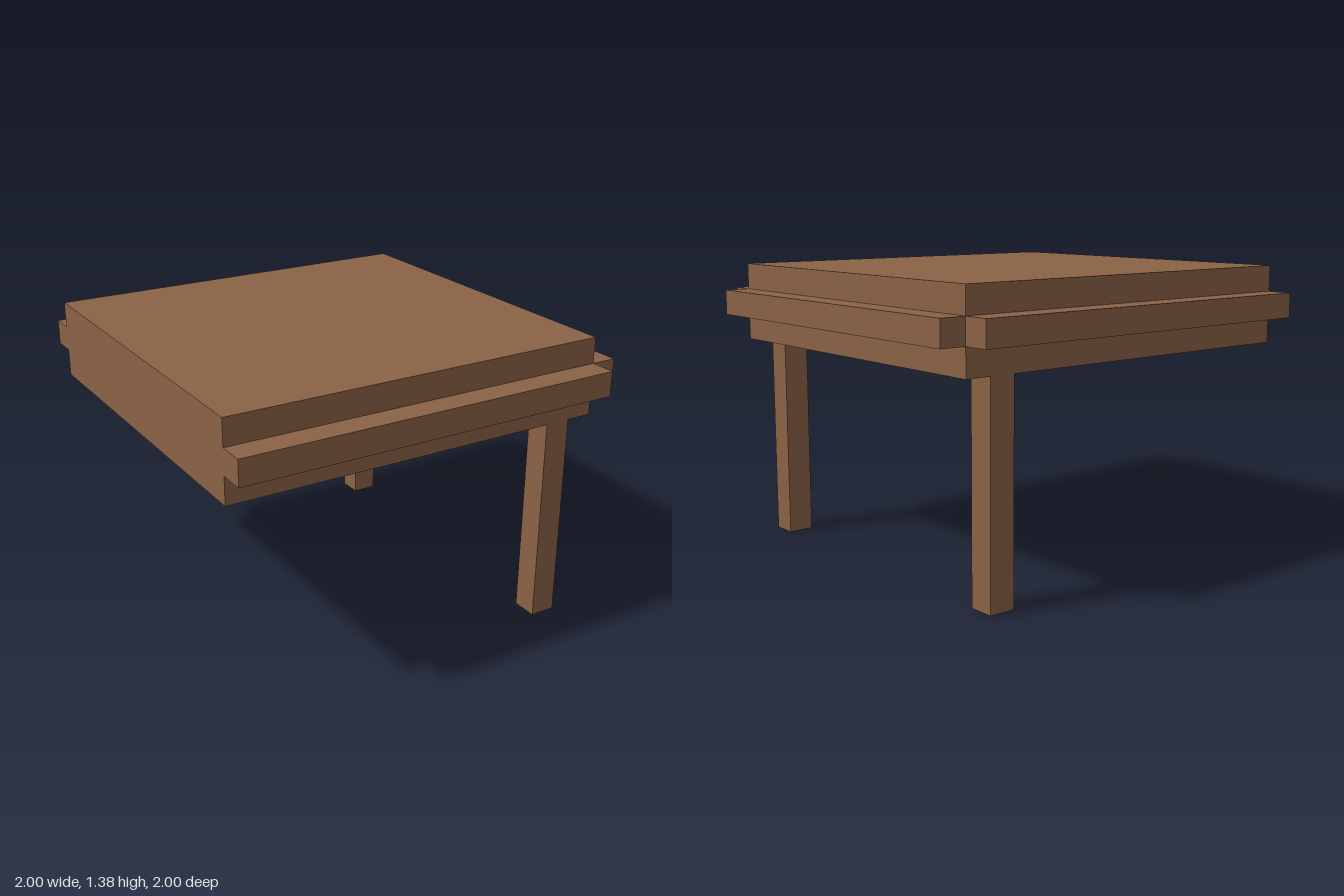
import * as THREE from 'three';

export function createModel() {
  const group = new THREE.Group();
  const wood = new THREE.MeshStandardMaterial({ color: 0x8b6346 });
  wood.name = 'brown wood';

  // Box spanning two opposite corners
  function box(name, [x0, y0, z0], [x1, y1, z1]) {
    const mesh = new THREE.Mesh(new THREE.BoxGeometry(x1 - x0, y1 - y0, z1 - z0), wood);
    mesh.position.set((x0 + x1) / 2, (y0 + y1) / 2, (z0 + z1) / 2);
    mesh.name = name;
    group.add(mesh);
    return mesh;
  }

  // Thick top, flush on the -x side
  box('tableTop', [-1, 1, -0.875], [0.875, 1.375, 0.875]);

  // Trim along the +x end
  box('endTrim', [0.875, 1.13, -0.875], [1, 1.25, 0.875]);

  // Trim and leg, mirrored front and back
  for (const [side, s] of [['front', 1], ['back', -1]]) {
    const trim = box(side + 'Trim', [-1, 1.13, 0.875], [0.875, 1.25, 1]);
    const leg = box(side + 'Leg', [0.625, 0, 0.75], [0.75, 1, 0.875]);
    trim.position.z *= s;
    leg.position.z *= s;
  }

  return group;
}
